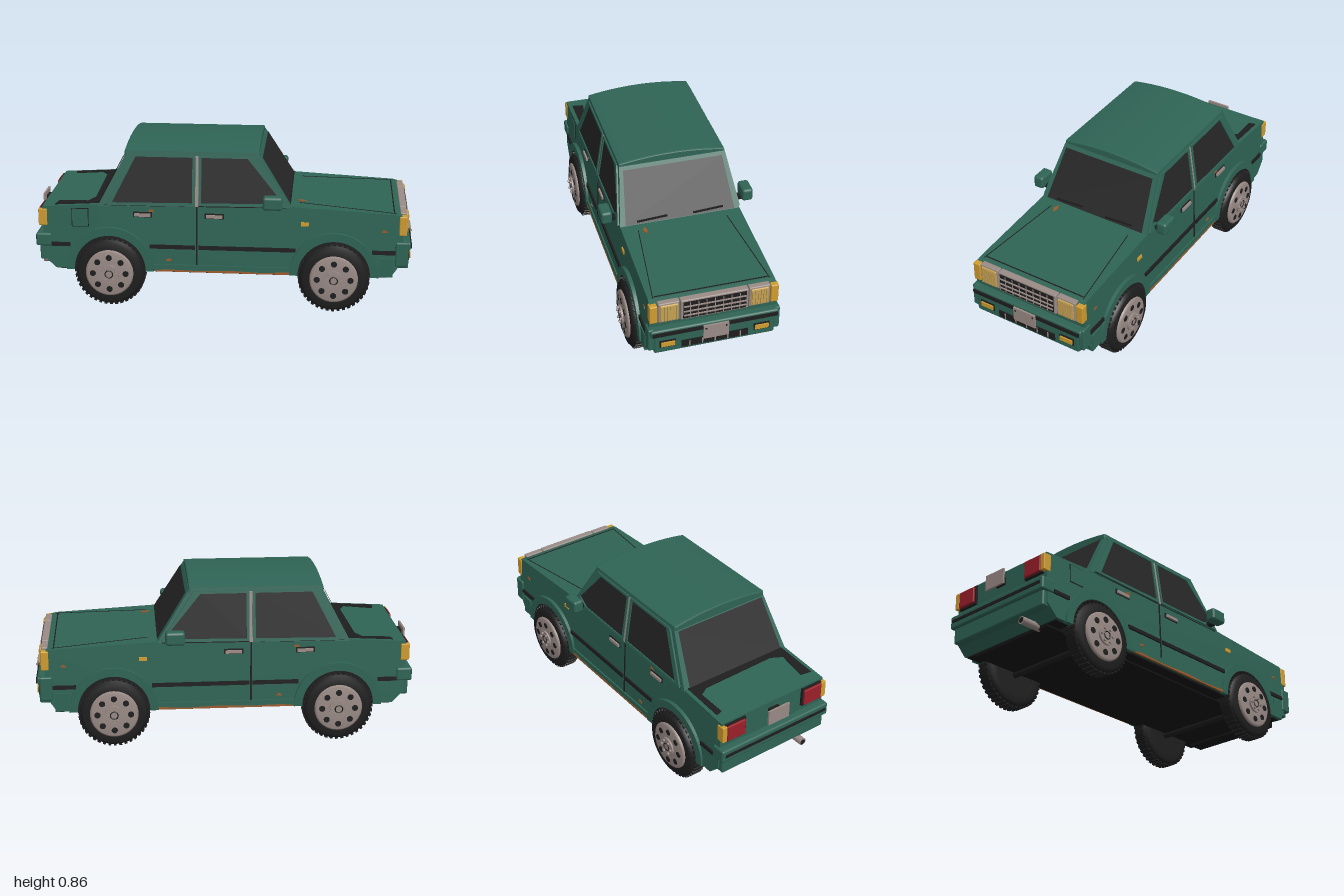
import * as THREE from 'three';
import { mergeGeometries } from 'three/addons/utils/BufferGeometryUtils.js';
import { RoundedBoxGeometry } from 'three/addons/geometries/RoundedBoxGeometry.js';

const mat = (name, color, side = THREE.FrontSide) => {
  const m = new THREE.MeshStandardMaterial({ color, side });
  m.name = name;
  return m;
};

export function createModel() {
  const green = mat('greenPaint', 0x2f6455), silver = mat('dullSilver', 0x9a8b86);
  const glass = mat('darkGlass', 0x262626, THREE.DoubleSide), black = mat('blackTrim', 0x1e1e1e, THREE.DoubleSide);
  const floorBlack = mat('underbody', 0x141414), amber = mat('amberLens', 0xd09c30);
  const lens = mat('headlightLens', 0xc4a054), red = mat('redLens', 0x9c1f2a), rust = mat('rust', 0x9a5a2c);
  const car = new THREE.Group();
  car.name = 'car';

  const add = (name, geo, material, parent = car) => {
    const m = new THREE.Mesh(geo, material);
    m.name = name;
    parent.add(m);
    return m;
  };
  // Box from its ranges along x, y and z
  const box = (name, material, [x0, x1], [y0, y1], [z0, z1], r = 0) => {
    const s = [x1 - x0, y1 - y0, z1 - z0];
    const g = r ? new RoundedBoxGeometry(...s, 2, r) : new THREE.BoxGeometry(...s);
    g.translate((x0 + x1) / 2, (y0 + y1) / 2, (z0 + z1) / 2);
    return add(name, g, material);
  };
  // The same box on both sides
  const pair = (name, material, xs, ys, [z0, z1], r = 0) => {
    box(name, material, xs, ys, [z0, z1], r);
    box(name, material, xs, ys, [-z1, -z0], r);
  };
  const shapeOf = pts => new THREE.Shape(pts.map(p => new THREE.Vector2(...p)));
  const rect = (x0, x1, y0, y1) => [[x0, y0], [x1, y0], [x1, y1], [x0, y1]];
  const moveVerts = (g, rule) => {
    const p = g.attributes.position;
    for (let i = 0; i < p.count; i++) p.setXYZ(i, ...rule(p.getX(i), p.getY(i), p.getZ(i)));
    g.computeVertexNormals();
    return g;
  };
  // Half widths of the lower body and of the cabin at height y
  const bodyW = y => 0.335 - 0.04 * (y - 0.2);
  const cabinW = y => 0.323 - 0.155 * (y - 0.55);
  const solid = (name, shape, width, material) => add(name, moveVerts(
    new THREE.ExtrudeGeometry(shape, { depth: 2, bevelEnabled: false, curveSegments: 20 }),
    (x, y, z) => [x, y, (z > 1 ? 1 : -1) * width(y)]), material);
  // Thin plate lying on the flanks
  const sidePlate = (name, pts, material, width = bodyW, d = 0.006, hole = null, sides = [1, -1]) => {
    for (const s of sides) {
      const shape = shapeOf(pts);
      if (hole) shape.holes.push(shapeOf(hole));
      add(name, moveVerts(new THREE.ExtrudeGeometry(shape, { depth: d, bevelEnabled: false }),
        (x, y, z) => [x, y, s > 0 ? width(y) + z : z - d - width(y)]), material);
    }
  };
  // Thin plate lying on the bonnet, boot or roof, given in x and z
  const topPlate = (name, pts, material, height, d = 0.004) => {
    const g = new THREE.ExtrudeGeometry(shapeOf(pts.map(([x, z]) => [x, -z])), { depth: d, bevelEnabled: false });
    g.rotateX(-Math.PI / 2);
    add(name, moveVerts(g, (x, y, z) => [x, y + height(x), z]), material);
  };
  const bonnetY = x => 0.565 - (x - 0.36) * 0.0556;
  const bootY = x => 0.553 + (x + 0.65) * 0.06;

  // Lower body with wheel arches
  const axles = [-0.59, 0.585], axleY = 0.19;
  const side = new THREE.Shape();
  side.moveTo(-0.94, 0.26);
  side.lineTo(-0.88, 0.2);
  for (const x of axles) {
    side.lineTo(x - 0.19, 0.2);
    side.absarc(x, 0.2, 0.19, Math.PI, 0, true);
  }
  for (const p of [[0.88, 0.2], [0.935, 0.28], [0.94, 0.525], [0.9, 0.535], [0.36, 0.565], [-0.65, 0.553], [-0.945, 0.535]])
    side.lineTo(...p);
  solid('body', side, bodyW, green);
  box('innerBody', floorBlack, [-0.87, 0.87], [0.182, 0.45], [-0.262, 0.262]);
  box('floor', floorBlack, [-0.4, 0.395], [0.19, 0.21], [-0.325, 0.325]);
  box('frontApron', floorBlack, [0.8, 0.89], [0.17, 0.25], [-0.265, 0.265]);
  for (const [x0, x1] of [[-0.87, -0.79], [0.78, 0.87]]) box('endFloor', floorBlack, [x0, x1], [0.192, 0.21], [-0.32, 0.32]);

  // Cabin, roof and glass
  solid('cabin', shapeOf([[-0.65, 0.545], [0.355, 0.56], [0.19, 0.825], [-0.5, 0.825]]), cabinW, green);
  const roof = new THREE.Shape();
  roof.moveTo(-0.278, 0.815);
  roof.lineTo(0.278, 0.815);
  roof.lineTo(0.275, 0.833);
  roof.quadraticCurveTo(0.14, 0.858, 0, 0.858);
  roof.quadraticCurveTo(-0.14, 0.858, -0.275, 0.833);
  const roofGeo = new THREE.ExtrudeGeometry(roof, { depth: 0.68, bevelThickness: 0.008, bevelSize: 0.006, bevelSegments: 2, curveSegments: 10 });
  add('roof', roofGeo.rotateY(Math.PI / 2).translate(-0.5, 0, 0), green);
  const screen = (name, lo, hi, zLo, zHi) => {
    const g = new THREE.BufferGeometry();
    const v = [[...lo, zLo], [...lo, -zLo], [...hi, -zHi], [...hi, zHi]].flat();
    g.setAttribute('position', new THREE.Float32BufferAttribute(v, 3));
    g.setIndex(lo[0] > 0 ? [0, 1, 2, 0, 2, 3] : [0, 2, 1, 0, 3, 2]);
    g.computeVertexNormals();
    add(name, g, glass);
  };
  screen('windscreen', [0.355, 0.57], [0.206, 0.81], 0.292, 0.264);
  screen('rearWindow', [-0.65, 0.56], [-0.514, 0.81], 0.292, 0.264);
  const rearGlass = [[-0.575, 0.567], [-0.155, 0.572], [-0.155, 0.808], [-0.45, 0.808]];
  const frontGlass = [[-0.108, 0.573], [0.23, 0.577], [0.295, 0.61], [0.13, 0.808], [-0.108, 0.808]];
  sidePlate('rearSideGlass', rearGlass, glass, cabinW, 0.003);
  sidePlate('frontSideGlass', frontGlass, glass, cabinW, 0.003);
  sidePlate('rearDoorFrame', [[-0.615, 0.555], [-0.14, 0.555], [-0.14, 0.82], [-0.475, 0.82]], green, cabinW, 0.009, rearGlass);
  sidePlate('frontDoorFrame', [[-0.122, 0.56], [0.335, 0.565], [0.165, 0.82], [-0.122, 0.82]], green, cabinW, 0.009, frontGlass);
  sidePlate('doorPillarTrim', rect(-0.139, -0.123, 0.555, 0.815), silver, cabinW, 0.006);
  for (const z of [-0.15, 0.15]) {
    const w = box('wiper', black, [-0.004, 0.004], [-0.004, 0.004], [-0.08, 0.08]);
    w.position.set(0.352, 0.588, z);
    w.rotation.x = 0.06;
  }

  // Doors and flank details
  sidePlate('doorSeam', rect(-0.136, -0.127, 0.22, 0.552), black, bodyW, 0.002);
  sidePlate('beltSeam', [[-0.62, 0.548], [0.33, 0.556], [0.33, 0.56], [-0.62, 0.554]], black, bodyW, 0.002);
  for (const [x0, x1] of [[-0.38, -0.14], [-0.122, 0.385], [-0.9, -0.8], [0.78, 0.9]])
    sidePlate('sideMoulding', rect(x0, x1, 0.322, 0.342), black, bodyW, 0.009);
  for (const x of [-0.415, -0.04]) {
    sidePlate('handleRecess', rect(x - 0.05, x + 0.05, 0.49, 0.518), black, bodyW, 0.003);
    sidePlate('doorHandle', rect(x - 0.042, x + 0.042, 0.495, 0.511), silver, bodyW, 0.012);
  }
  sidePlate('sideMarker', rect(0.41, 0.45, 0.465, 0.485), amber);
  sidePlate('fuelDoor', rect(-0.79, -0.7, 0.43, 0.53), black, bodyW, 0.002, null, [1]);
  sidePlate('fuelDoorPanel', rect(-0.786, -0.704, 0.434, 0.526), green, bodyW, 0.005, null, [1]);
  sidePlate('sill', rect(-0.4, 0.38, 0.205, 0.235), green, bodyW, 0.008);
  sidePlate('sillRust', [[-0.36, 0.198], [0.37, 0.198], [0.36, 0.212], [0.2, 0.205], [0.05, 0.211], [-0.12, 0.205], [-0.3, 0.21]], rust, bodyW, 0.0095);
  for (const [x, y] of [[-0.28, 0.26], [-0.37, 0.525], [0.84, 0.445]])
    sidePlate('rustSpot', [[x - 0.015, y - 0.006], [x + 0.016, y - 0.004], [x + 0.008, y + 0.008], [x - 0.01, y + 0.006]], rust, bodyW, 0.003);

  // Wing mirrors
  pair('wingMirror', green, [0.215, 0.315], [0.568, 0.638], [0.35, 0.408], 0.014);
  pair('mirrorArm', black, [0.25, 0.285], [0.565, 0.585], [0.315, 0.36]);

  // Bonnet, boot and roof marks
  for (const s of [1, -1]) topPlate('bonnetSeam', [[0.4, s * 0.235], [0.9, s * 0.295], [0.9, s * 0.299], [0.4, s * 0.239]], black, bonnetY, 0.002);
  topPlate('bonnetEdge', rect(0.886, 0.892, -0.29, 0.29), black, bonnetY, 0.002);
  topPlate('bonnetRust', [[0.38, 0.2], [0.41, 0.19], [0.435, 0.2], [0.41, 0.215]], rust, bonnetY);
  topPlate('bootStain', [[-0.645, -0.3], [-0.88, -0.3], [-0.87, -0.265], [-0.72, -0.27], [-0.69, -0.22], [-0.68, 0.2],
    [-0.71, 0.26], [-0.87, 0.24], [-0.88, 0.3], [-0.645, 0.3]], black, bootY);

  // Grille and front lamps
  box('grilleFrame', silver, [0.92, 0.957], [0.417, 0.537], [-0.172, 0.172], 0.006);
  box('grilleBack', black, [0.95, 0.96], [0.427, 0.527], [-0.16, 0.16]);
  for (const y of [0.447, 0.472, 0.502]) box('grilleBar', silver, [0.95, 0.966], [y - 0.003, y + 0.003], [-0.158, 0.158]);
  for (let i = -3; i <= 3; i++) box('grilleSlat', silver, [0.95, 0.963], [0.43, 0.524], [i * 0.042 - 0.002, i * 0.042 + 0.002]);
  pair('headlightFrame', silver, [0.92, 0.954], [0.42, 0.537], [0.176, 0.284], 0.006);
  pair('headlight', lens, [0.94, 0.961], [0.43, 0.528], [0.184, 0.276], 0.006);
  for (let i = 0; i < 6; i++) pair('headlightRib', lens, [0.95, 0.966], [0.436, 0.522], [0.19 + i * 0.0143, 0.197 + i * 0.0143]);
  pair('cornerLamp', amber, [0.915, 0.956], [0.424, 0.528], [0.288, 0.328], 0.006);

  // Front bumper
  box('frontBumper', green, [0.89, 0.97], [0.24, 0.35], [-0.31, 0.31], 0.01);
  box('frontBumperTop', green, [0.89, 0.978], [0.345, 0.388], [-0.328, 0.328], 0.01);
  box('frontBumperStrip', black, [0.95, 0.984], [0.355, 0.376], [-0.32, 0.32]);
  pair('frontBumperEnd', green, [0.9, 0.965], [0.26, 0.39], [0.305, 0.338], 0.008);
  pair('lowerCorner', green, [0.82, 0.89], [0.2, 0.3], [0.285, 0.338]);
  box('airIntake', black, [0.95, 0.975], [0.258, 0.298], [-0.17, 0.17]);
  for (const z of [-0.13, -0.065, 0, 0.065, 0.13]) box('intakeBar', silver, [0.96, 0.978], [0.262, 0.294], [z - 0.003, z + 0.003]);
  pair('fogLampHousing', black, [0.95, 0.975], [0.278, 0.318], [0.2, 0.282]);
  pair('fogLamp', amber, [0.96, 0.982], [0.286, 0.311], [0.205, 0.276]);
  box('frontPlate', silver, [0.982, 0.992], [0.3, 0.38], [-0.065, 0.065]);
  pair('plateBolt', black, [0.984, 0.995], [0.36, 0.368], [0.048, 0.056]);

  // Rear lamps, plate, bumper and exhaust
  pair('tailLampFrame', black, [-0.957, -0.93], [0.424, 0.526], [0.18, 0.305]);
  pair('tailLamp', red, [-0.968, -0.945], [0.432, 0.519], [0.188, 0.298], 0.004);
  pair('rearIndicator', amber, [-0.966, -0.92], [0.432, 0.522], [0.3, 0.328], 0.004);
  box('rearPlateMount', black, [-0.985, -0.93], [0.46, 0.5], [-0.03, 0.03]);
  box('rearPlate', silver, [-0.994, -0.984], [0.44, 0.522], [-0.065, 0.065]);
  box('rearBumper', green, [-0.965, -0.89], [0.24, 0.33], [-0.325, 0.325], 0.01);
  box('rearBumperTop', green, [-0.982, -0.9], [0.32, 0.39], [-0.338, 0.338], 0.01);
  box('rearBumperStrip', black, [-0.986, -0.95], [0.35, 0.366], [-0.32, 0.32]);
  const pipe = new THREE.CylinderGeometry(0.02, 0.02, 0.12, 16).rotateZ(Math.PI / 2).translate(-0.915, 0.2, 0.19);
  add('exhaustPipe', pipe, silver);
  add('exhaustMouth', new THREE.CircleGeometry(0.015, 16).rotateY(-Math.PI / 2).translate(-0.976, 0.2, 0.19), black);

  // Wheels with arch flares and axles
  const ring = (r0, r1, h) => {
    const s = new THREE.Shape();
    s.absarc(0, 0, r1, -0.02, Math.PI + 0.02, false);
    s.absarc(0, 0, r0, Math.PI + 0.02, -0.02, true);
    return new THREE.ExtrudeGeometry(s, { depth: h, bevelEnabled: false, curveSegments: 24 });
  };
  const lathe = pts => new THREE.LatheGeometry(pts.map(p => new THREE.Vector2(...p)), 40).rotateX(Math.PI / 2);
  const disc = (r, z0, z1, x = 0, y = 0) =>
    new THREE.CylinderGeometry(r, r, z1 - z0, 20).rotateX(Math.PI / 2).translate(x, y, (z0 + z1) / 2);
  const round = (n, r, make) => mergeGeometries(Array.from({ length: n }, (_, i) =>
    make(r * Math.cos(i * 2 * Math.PI / n), r * Math.sin(i * 2 * Math.PI / n), i * 2 * Math.PI / n)));
  for (const x of axles) {
    add('axle', new THREE.CylinderGeometry(0.018, 0.018, 0.56, 12).rotateX(Math.PI / 2).translate(x, 0.178, 0), black);
    for (const s of [1, -1]) {
      const wheel = new THREE.Group();
      wheel.name = 'wheel';
      wheel.position.set(x, axleY, s * 0.315);
      if (s < 0) wheel.rotation.y = Math.PI;
      car.add(wheel);
      add('tyre', lathe([[0.115, -0.048], [0.16, -0.05], [0.176, -0.036], [0.181, -0.015], [0.181, 0.015], [0.176, 0.036], [0.16, 0.05], [0.115, 0.048]]), black, wheel);
      add('tread', round(40, 0.181, (a, b, t) => new THREE.BoxGeometry(0.012, 0.015, 0.064).rotateZ(t).translate(a, b, 0)), black, wheel);
      add('wheelBack', disc(0.12, -0.04, 0.04), black, wheel);
      add('hubcap', lathe([[0.126, 0.04], [0.126, 0.054], [0.116, 0.062], [0.06, 0.064], [0, 0.066]]), silver, wheel);
      add('hubcapHoles', round(8, 0.087, (a, b) => disc(0.016, 0.06, 0.0655, a, b)), black, wheel);
      add('hubCentre', disc(0.05, 0.06, 0.074), silver, wheel);
      add('hubRing', new THREE.TorusGeometry(0.02, 0.003, 6, 20).translate(0, 0, 0.075), black, wheel);
      add('wheelNuts', round(6, 0.037, (a, b) => disc(0.007, 0.07, 0.083, a, b)), silver, wheel);
      add('archFlare', ring(0.188, 0.232, 0.045).translate(x, 0.2, s > 0 ? 0.3 : -0.345), green);
      add('archLiner', ring(0.183, 0.189, 0.08).translate(x, 0.2, s > 0 ? 0.262 : -0.342), black);
    }
  }
  return car;
}
